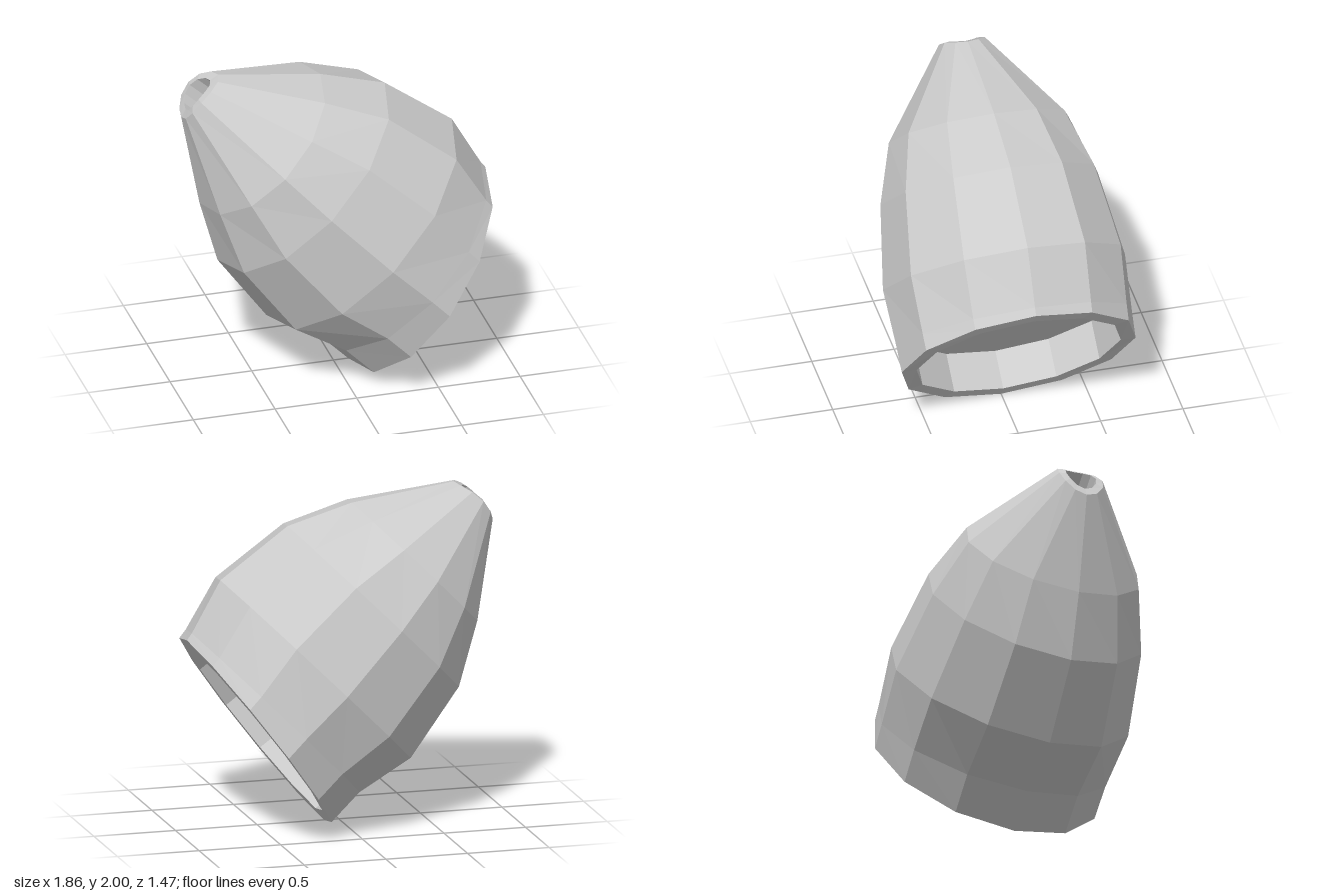
import * as THREE from 'three';

const SIDES = 12;

// A ring is [centre x, centre y, half-axis x, half-axis y, half-width z, bulge along the axis]
function ringPoint([cx, cy, hx, hy, rz, bulge = 0], j) {
  const a = (j / SIDES) * Math.PI * 2;
  const c = Math.cos(a), s = Math.sin(a);
  const b = bulge * s * s;
  return [cx + hx * c - 0.74 * b, cy + hy * c + 0.67 * b, rz * s];
}

// Skin consecutive rings with quads; a ring of zero size closes the end
function loft(name, rings, material) {
  const pos = [];
  for (let i = 0; i < rings.length - 1; i++) {
    for (let j = 0; j < SIDES; j++) {
      const a = ringPoint(rings[i], j), b = ringPoint(rings[i], j + 1);
      const c = ringPoint(rings[i + 1], j), d = ringPoint(rings[i + 1], j + 1);
      if (rings[i][4] > 0) pos.push(...a, ...b, ...c);
      if (rings[i + 1][4] > 0) pos.push(...b, ...d, ...c);
    }
  }
  const geometry = new THREE.BufferGeometry();
  geometry.setAttribute('position', new THREE.Float32BufferAttribute(pos, 3));
  geometry.computeVertexNormals();
  const mesh = new THREE.Mesh(geometry, material);
  mesh.name = name;
  return mesh;
}

export function createModel() {
  const group = new THREE.Group();
  group.name = 'taperedShell';
  const material = new THREE.MeshStandardMaterial({ color: 0xcccccc, flatShading: true });

  const tip = [-0.818, 1.875, 0.113, 0.125, 0.14, 0.04];
  const tipHole = [-0.83, 1.885, 0.075, 0.085, 0.095, 0.03];
  const rim = [0.51, 0.575, 0.42, 0.575, 0.71];
  const rimInner = [0.51, 0.575, 0.368, 0.5, 0.62];
  const cavityEnd = [0.32, 0.715, 0.368, 0.5, 0.62];

  // Curved body, leaning from the open rim up to the narrow tip
  group.add(loft('outerShell', [
    tip,
    [-0.45, 1.54, 0.37, 0.375, 0.545],
    [-0.198, 1.285, 0.512, 0.515, 0.66],
    [0.157, 0.93, 0.568, 0.57, 0.735],
    [0.405, 0.685, 0.495, 0.505, 0.715],
    rim,
  ], material));

  // Wide opening: flat lip, short inner wall and back panel
  group.add(loft('rimLip', [rim, rimInner], material));
  group.add(loft('cavityWall', [rimInner, cavityEnd], material));
  group.add(loft('cavityPanel', [cavityEnd, [0.32, 0.715, 0, 0, 0]], material));

  // Small hole in the tip
  group.add(loft('tipLip', [tipHole, tip], material));
  group.add(loft('tipHole', [
    [-0.72, 1.785, 0, 0, 0],
    [-0.72, 1.785, 0.075, 0.085, 0.095],
    tipHole,
  ], material));

  return group;
}
